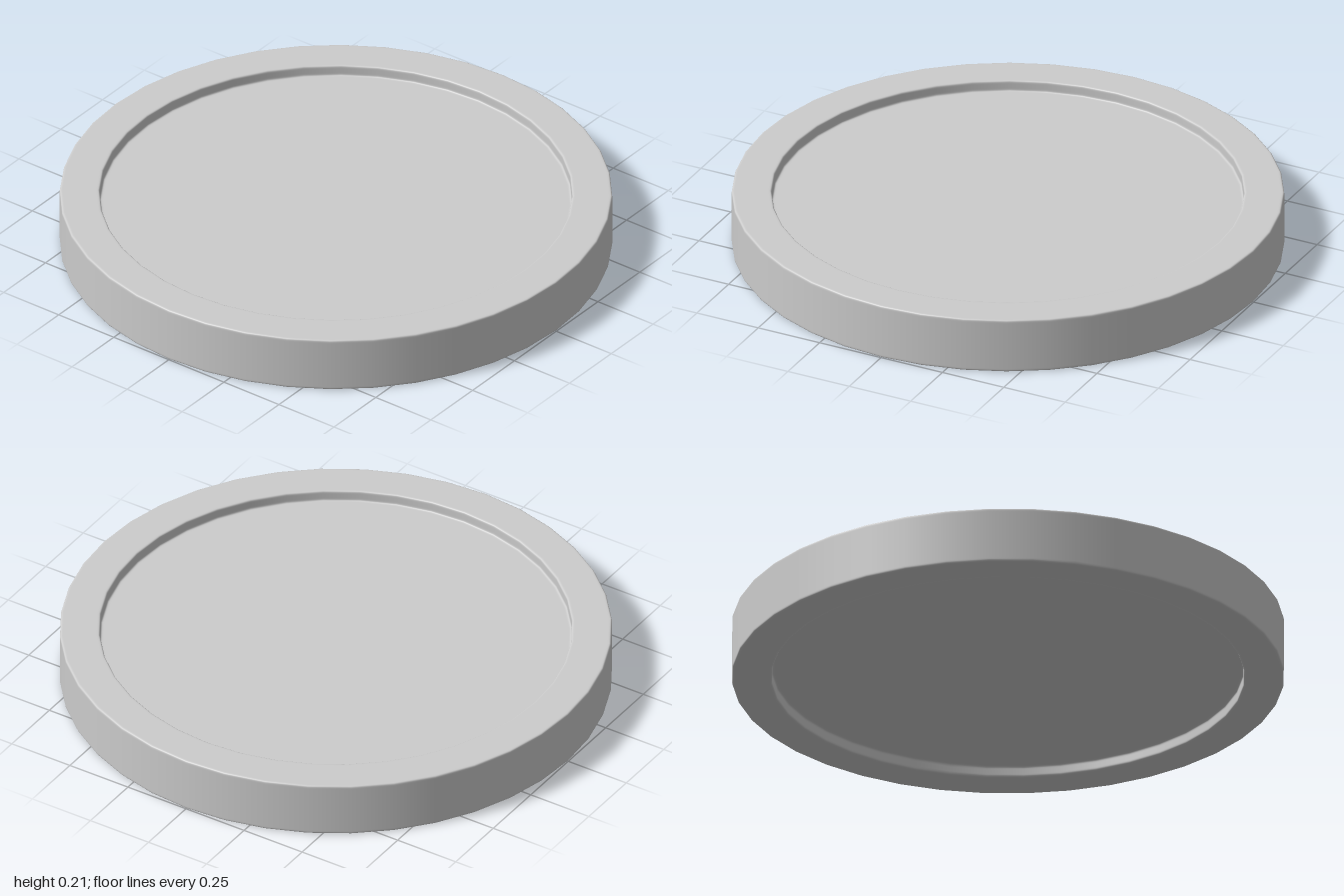
import * as THREE from 'three';

const SEGMENTS = 40;
const HEIGHT = 0.21;
const RECESS = 0.042;
const RIM_INNER = 0.855;
const EDGE = 0.008;

// Round every corner of a profile, with a support ring on each side to keep the flats flat
function roundedProfile(corners, radius, steps = 4) {
  const points = [corners[0]];
  for (let i = 1; i < corners.length - 1; i++) {
    const c = corners[i];
    const toward = (other, d) => other.clone().sub(c).setLength(d).add(c);
    const prev = corners[i - 1], next = corners[i + 1];
    const arc = new THREE.QuadraticBezierCurve(toward(prev, radius), c, toward(next, radius));
    points.push(toward(prev, radius * 1.6), ...arc.getPoints(steps), toward(next, radius * 1.6));
  }
  points.push(corners[corners.length - 1]);
  return points;
}

export function createModel() {
  const group = new THREE.Group();
  group.name = 'disc';

  // Half section: recessed underside, raised rim, recessed top
  const corners = [
    [0, RECESS],
    [RIM_INNER, RECESS],
    [RIM_INNER, 0],
    [1, 0],
    [1, HEIGHT],
    [RIM_INNER, HEIGHT],
    [RIM_INNER, HEIGHT - RECESS],
    [0, HEIGHT - RECESS],
  ].map(([r, y]) => new THREE.Vector2(r, y));

  const body = new THREE.Mesh(
    new THREE.LatheGeometry(roundedProfile(corners, EDGE), SEGMENTS),
    new THREE.MeshStandardMaterial({ color: 0xcccccc })
  );
  body.name = 'rimmedDisc';
  group.add(body);
  return group;
}
